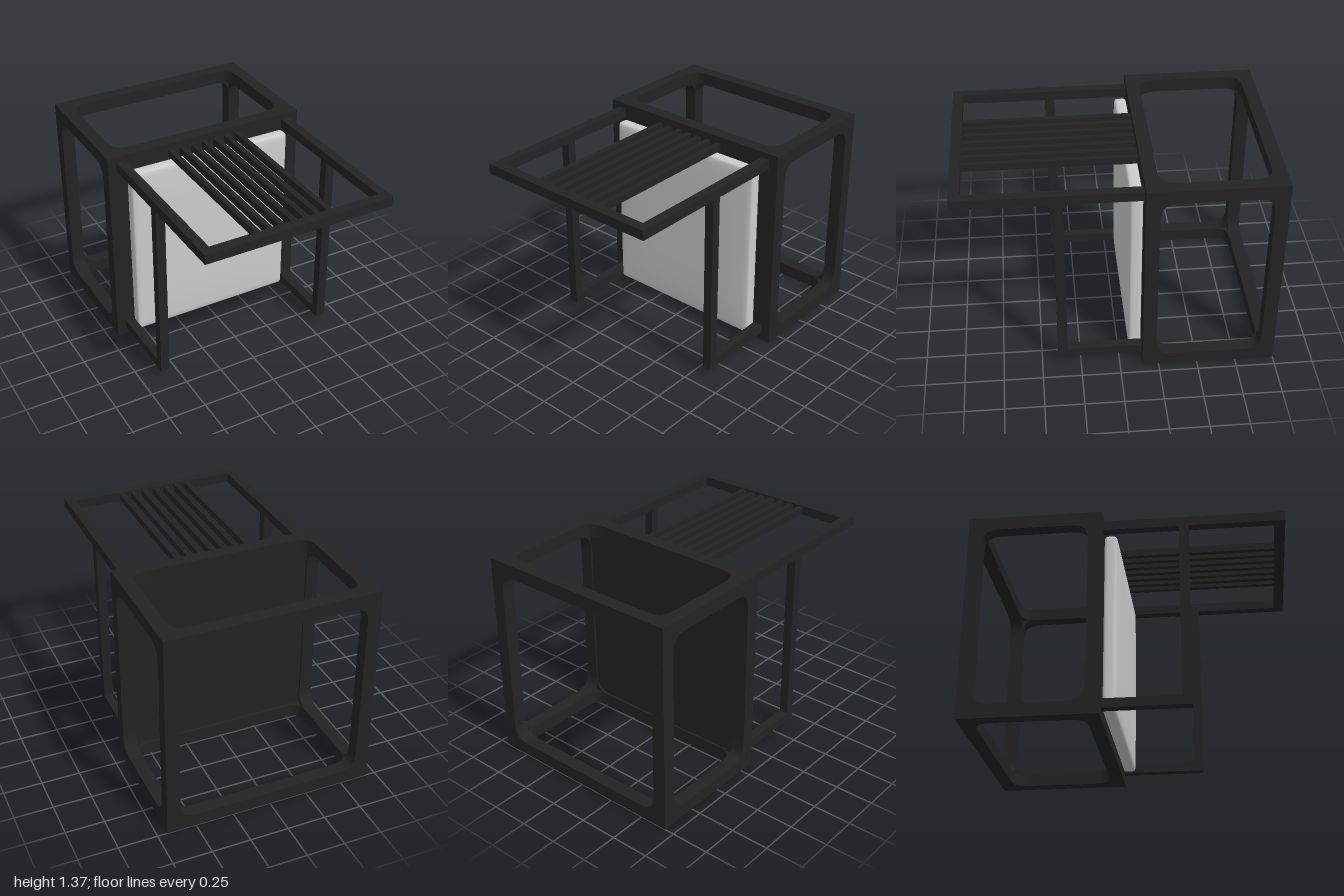
import * as THREE from 'three';
import { mergeVertices } from 'three/addons/utils/BufferGeometryUtils.js';

const dark = new THREE.MeshStandardMaterial({ color: 0x232323 });
dark.name = 'charcoal frame';
const pale = new THREE.MeshStandardMaterial({ color: 0xcccccc });
pale.name = 'pale grey fabric';

// Box given by its limits on each axis
function bar(name, [x0, x1], [y0, y1], [z0, z1]) {
  const mesh = new THREE.Mesh(new THREE.BoxGeometry(x1 - x0, y1 - y0, z1 - z0), dark);
  mesh.position.set((x0 + x1) / 2, (y0 + y1) / 2, (z0 + z1) / 2);
  mesh.name = name;
  return mesh;
}

// Flat rectangular frame with a softly rounded opening, centred on the origin
function frame(name, w, h, t) {
  const shape = new THREE.Shape();
  shape.moveTo(-w / 2, -h / 2).lineTo(w / 2, -h / 2).lineTo(w / 2, h / 2).lineTo(-w / 2, h / 2).closePath();
  const a = w / 2 - t, b = h / 2 - t, r = 0.13, k = 0.025;
  const hole = new THREE.Path();
  hole.moveTo(-a + r, -b);
  hole.bezierCurveTo(-a + k, -b, -a, -b + k, -a, -b + r);
  hole.lineTo(-a, b - r);
  hole.bezierCurveTo(-a, b - k, -a + k, b, -a + r, b);
  hole.lineTo(a - r, b);
  hole.bezierCurveTo(a - k, b, a, b - k, a, b - r);
  hole.lineTo(a, -b + r);
  hole.bezierCurveTo(a, -b + k, a - k, -b, a - r, -b);
  hole.closePath();
  shape.holes.push(hole);
  const geo = new THREE.ExtrudeGeometry(shape, { depth: t, bevelEnabled: false, curveSegments: 10 });
  geo.translate(0, 0, -t / 2);
  const mesh = new THREE.Mesh(geo, dark);
  mesh.name = name;
  return mesh;
}

// Rounded cushion with a gently crowned front
function cushion(w, h, d, r, crown) {
  const geo = new THREE.BoxGeometry(2, 2, 2, 24, 24, 10);
  geo.deleteAttribute('uv');
  geo.deleteAttribute('normal');
  const half = new THREE.Vector3(w / 2, h / 2, d / 2);
  const inner = half.clone().subScalar(r);
  const pos = geo.attributes.position, p = new THREE.Vector3(), c = new THREE.Vector3();
  for (let i = 0; i < pos.count; i++) {
    p.fromBufferAttribute(pos, i);
    // Crowd the grid towards the edges, then round them
    p.set(...p.toArray().map(v => Math.sin(v * Math.PI / 2))).multiply(half);
    c.copy(p).clamp(inner.clone().negate(), inner);
    p.sub(c).setLength(r).add(c);
    if (p.z > 0) {
      const u = p.x / half.x, v = p.y / half.y;
      p.z += crown * (1 - u ** 6) * (1 - v ** 6) * p.z / half.z;
    }
    pos.setXYZ(i, p.x, p.y, p.z);
  }
  const smooth = mergeVertices(geo, 1e-5);
  smooth.computeVertexNormals();
  const mesh = new THREE.Mesh(smooth, pale);
  mesh.name = 'seatCushion';
  return mesh;
}

export function createModel() {
  const model = new THREE.Group();
  model.name = 'chairOnItsBack';

  // Open cube base made of six frames
  const W = 1.37, H = 1.37, D = 0.855, T = 0.087, zBack = -1, zFront = zBack + D;
  const zMid = (zBack + zFront) / 2;
  const base = new THREE.Group();
  base.name = 'cubeBase';
  for (const [name, z] of [['seatFrame', zFront - T / 2], ['floorFrame', zBack + T / 2]]) {
    const f = frame(name, W, H, T);
    f.position.set(0, H / 2, z);
    base.add(f);
  }
  for (const s of [-1, 1]) {
    const side = frame(s > 0 ? 'leftFrame' : 'rightFrame', D, H, T);
    side.rotation.y = Math.PI / 2;
    side.position.set(s * (W - T) / 2, H / 2, zMid);
    const flat = frame(s > 0 ? 'upperFrame' : 'lowerFrame', W, D, T);
    flat.rotation.x = Math.PI / 2;
    flat.position.set(0, H / 2 + s * (H - T) / 2, zMid);
    base.add(side, flat);
  }
  // Panel closing the seat side
  base.add(bar('seatPanel', [-0.61, 0.61], [0.075, 1.295], [zFront - 0.075, zFront - 0.002]));
  model.add(base);

  // Slatted backrest and arms, a touch off centre
  const rest = new THREE.Group();
  rest.name = 'backrestAndArms';
  rest.position.x = -0.003;
  for (const s of [-1, 1]) {
    const side = s > 0 ? 'left' : 'right';
    const xs = s > 0 ? [0.565, 0.625] : [-0.625, -0.565];
    rest.add(
      bar(side + 'BackRail', xs, [1.27, 1.333], [zFront, 0.935]),
      bar(side + 'ArmRest', xs, [0.058, 1.27], [0.335, 0.395]),
      bar(side + 'ArmSupport', xs, [0.058, 0.117], [zFront, 0.335]),
    );
  }
  rest.add(bar('headRail', [-0.625, 0.625], [1.27, 1.333], [0.935, 1]));
  for (let i = -3; i <= 3; i++) {
    const x = -0.01 + i * 0.08;
    rest.add(bar('backSlat', [x - 0.017, x + 0.017], [1.278, 1.325], [zFront, 0.935]));
  }
  model.add(rest);

  const pad = cushion(1.127, 1.206, 0.08, 0.022, 0.012);
  pad.position.set(-0.003, 0.663, zFront + 0.04);
  model.add(pad);
  return model;
}
